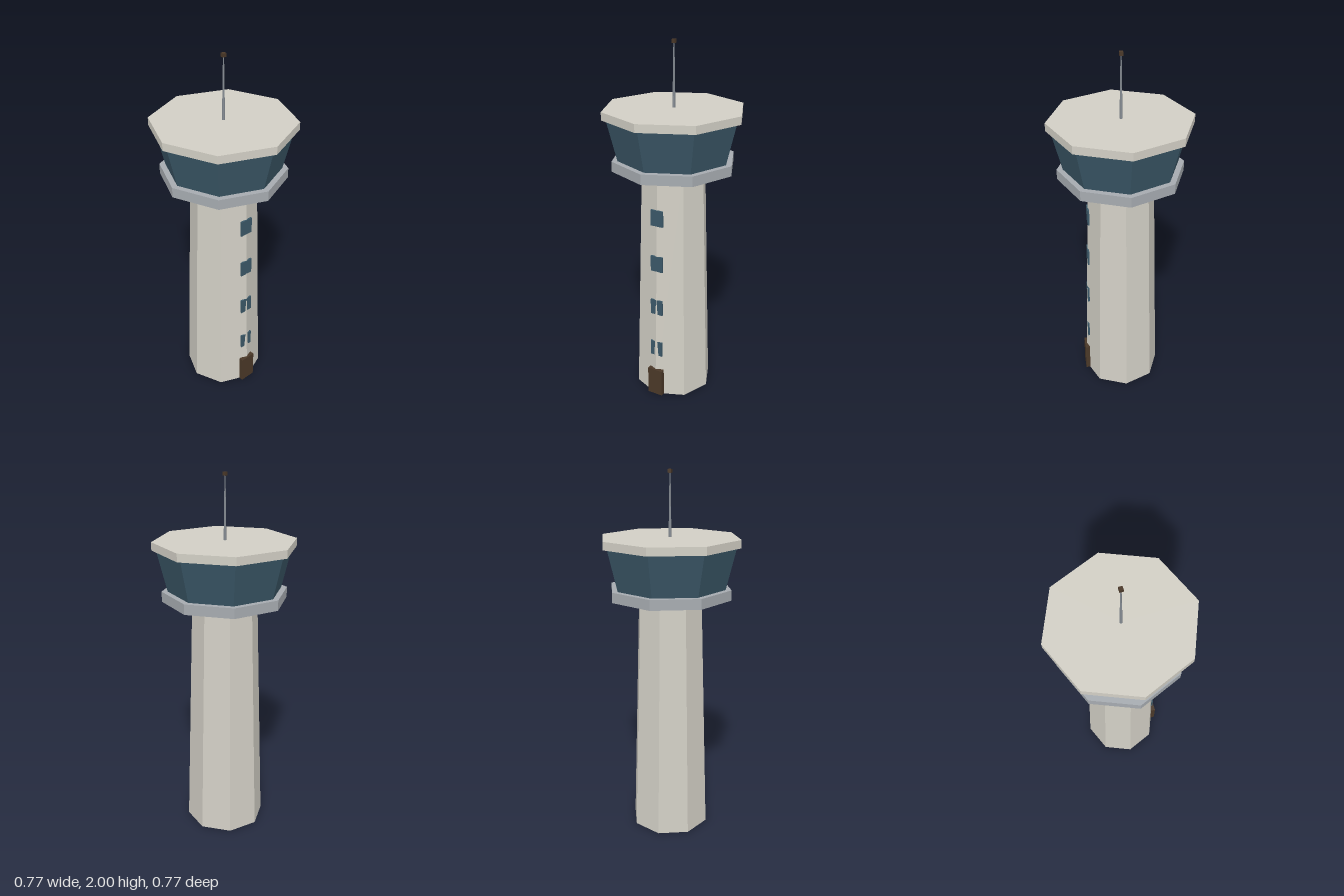
import * as THREE from 'three';

const material = (name, color) => {
  const m = new THREE.MeshStandardMaterial({ color });
  m.name = name;
  m.flatShading = true;
  return m;
};

export function createModel() {
  const tower = new THREE.Group();
  tower.name = 'controlTower';

  const concrete = material('concrete', 0xd2cfc5);
  const deckGrey = material('deckGrey', 0xa6abb0);
  const glass = material('glass', 0x3b5868);
  const brown = material('darkBrown', 0x4a3828);
  const steel = material('steel', 0x858b92);

  const add = (name, geometry, mat, x, y, z) => {
    const mesh = new THREE.Mesh(geometry, mat);
    mesh.name = name;
    mesh.position.set(x, y, z);
    tower.add(mesh);
  };
  // Tapered prism between two heights
  const prism = (name, mat, y0, y1, r0, r1, sides = 8) =>
    add(name, new THREE.CylinderGeometry(r1, r0, y1 - y0, sides), mat, 0, (y0 + y1) / 2, 0);

  // Octagonal stack: shaft, deck, flared cab, roof
  prism('shaft', concrete, 0, 1.335, 0.22, 0.177);
  prism('deck', deckGrey, 1.335, 1.39, 0.338, 0.338);
  prism('cabGlass', glass, 1.39, 1.612, 0.306, 0.36);
  prism('roof', concrete, 1.612, 1.655, 0.383, 0.383);

  // Antenna with a small block on top
  prism('mast', steel, 1.655, 1.985, 0.008, 0.003, 6);
  add('mastTip', new THREE.BoxGeometry(0.019, 0.019, 0.019), brown, 0, 1.9905, 0);

  // Door at the front corner of the shaft
  add('door', new THREE.BoxGeometry(0.09, 0.165, 0.025), brown, 0, 0.0825, 0.2125);

  // Column of windows following the taper
  for (let i = 0; i < 4; i++) {
    const y = 0.3 + i * 0.266;
    const front = 0.206 - i * 0.006;
    add(`window${i + 1}`, new THREE.BoxGeometry(0.072, 0.09, 0.0098), glass, 0, y, front - 0.0049);
  }

  return tower;
}
